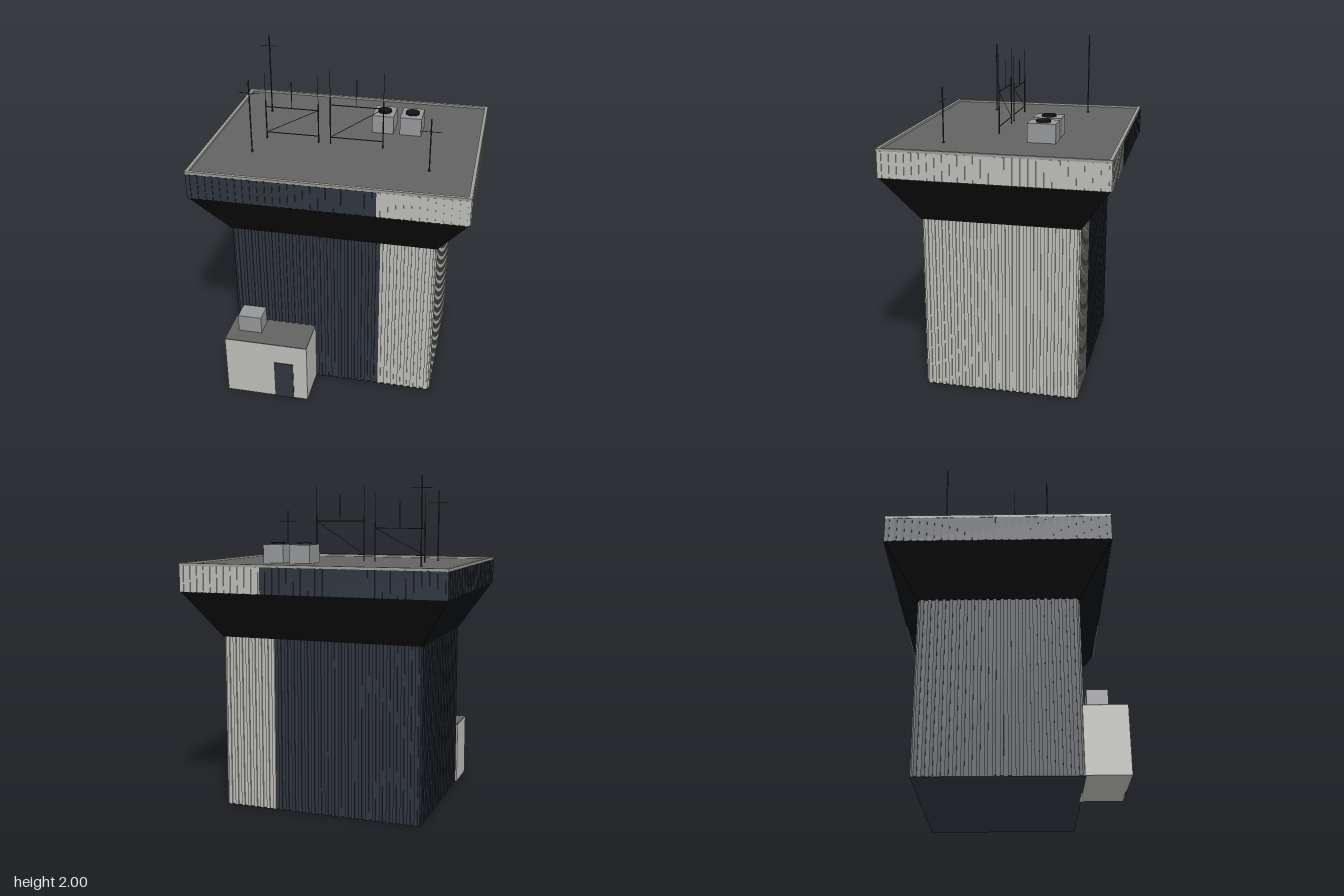
import * as THREE from 'three';
import { mergeGeometries } from 'three/addons/utils/BufferGeometryUtils.js';

const mat = (color) => new THREE.MeshStandardMaterial({ color });
const DARK = mat(0x2f343e), LIGHT = mat(0xbcbdb7), GLASS = mat(0x0d0e10), ROOF = mat(0x626262);
const COPING = mat(0x9b9d97), UNIT = mat(0x959698), FAN = mat(0x141517), STEEL = mat(0x2c2e31);
const ZC = -0.025;   // centre of the tower in z
const SPLIT = 0.29;  // where the dark cladding meets the light

// Box geometry given by its min and max on each axis
function boxGeo(x0, x1, y0, y1, z0, z1) {
  return new THREE.BoxGeometry(x1 - x0, y1 - y0, z1 - z0)
    .translate((x0 + x1) / 2, (y0 + y1) / 2, (z0 + z1) / 2);
}

function add(parent, name, geo, material) {
  const mesh = new THREE.Mesh(geo, material);
  mesh.name = name;
  parent.add(mesh);
  return mesh;
}

// Round bar between two points
function barGeo(a, b, r) {
  const p = new THREE.Vector3(...a), d = new THREE.Vector3(...b).sub(p);
  const q = new THREE.Quaternion().setFromUnitVectors(new THREE.Vector3(0, 1, 0), d.clone().normalize());
  return new THREE.CylinderGeometry(r, r, d.length(), 6)
    .applyQuaternion(q).translate(p.x + d.x / 2, p.y + d.y / 2, p.z + d.z / 2);
}

// Ribbed block, split into dark and light cladding; hx and hz include the ribs
function cladBlock(parent, name, hx, hz, y0, y1, depth, pitch, ribWidth) {
  const cx = hx - depth, cz = hz - depth, w = ribWidth / 2;
  const dark = [boxGeo(-cx, SPLIT, y0, y1, ZC - cz, ZC + cz)];
  const light = [boxGeo(SPLIT, cx, y0, y1, ZC - cz, ZC + cz)];
  const nx = Math.round(2 * cx / pitch), nz = Math.round(2 * cz / pitch);
  for (let i = 0; i < nx; i++) {
    const x = -cx + (i + 0.5) * 2 * cx / nx;
    const list = x < SPLIT ? dark : light;
    list.push(boxGeo(x - w, x + w, y0, y1, ZC + cz, ZC + hz));
    list.push(boxGeo(x - w, x + w, y0, y1, ZC - hz, ZC - cz));
  }
  for (let i = 0; i < nz; i++) {
    const z = ZC - cz + (i + 0.5) * 2 * cz / nz;
    dark.push(boxGeo(-hx, -cx, y0, y1, z - w, z + w));
    light.push(boxGeo(cx, hx, y0, y1, z - w, z + w));
  }
  add(parent, name + 'DarkCladding', mergeGeometries(dark), DARK);
  add(parent, name + 'LightCladding', mergeGeometries(light), LIGHT);
}

function rectPath(path, hx, hz) {
  path.moveTo(-hx, -hz);
  path.lineTo(hx, -hz);
  path.lineTo(hx, hz);
  path.lineTo(-hx, hz);
  path.closePath();
  return path;
}

// Mast with a short crossbar
function mast(parent, x, z, top, barY) {
  add(parent, 'mast', mergeGeometries([
    barGeo([x, 1.48, z], [x, top, z], 0.004),
    barGeo([x - 0.062, barY, z], [x + 0.062, barY, z], 0.0018),
    new THREE.CylinderGeometry(0.007, 0.007, 0.012, 8).translate(x, 1.491, z),
  ]), STEEL);
}

// Braced antenna frame with whips
function antennaFrame(parent, x0, x1, rail, postTop, whipTop) {
  const z = 0.07, low = 1.53, xm = (x0 + x1) / 2;
  const parts = [
    barGeo([x0, low, z], [x1, low, z], 0.003),
    barGeo([x0, rail, z], [x1, rail, z], 0.003),
    barGeo([x0, low, z], [x1, rail, z], 0.002),
    barGeo([xm, rail, z], [xm, rail + 0.163, z], 0.0025),
  ];
  for (const x of [x0, x1]) {
    parts.push(barGeo([x, 1.48, z], [x, postTop, z], 0.004));
    parts.push(barGeo([x, postTop, z], [x, whipTop, z], 0.0015));
  }
  add(parent, 'antennaFrame', mergeGeometries(parts), STEEL);
}

export function createModel() {
  const model = new THREE.Group();
  model.name = 'controlTower';

  // Shaft on its dark base plate
  add(model, 'basePlate', boxGeo(-0.618, 0.618, 0, 0.004, ZC - 0.463, ZC + 0.463), DARK);
  cladBlock(model, 'shaft', 0.62, 0.465, 0.003, 1.05, 0.008, 0.042, 0.02);

  // Outward-leaning glazing
  const glass = new THREE.BoxGeometry(2, 0.28, 2);
  const p = glass.attributes.position;
  for (let i = 0; i < p.count; i++) {
    const top = p.getY(i) > 0;
    p.setX(i, p.getX(i) * (top ? 0.8 : 0.62));
    p.setZ(i, p.getZ(i) * (top ? 0.645 : 0.465));
  }
  glass.translate(0, 1.19, ZC);
  glass.computeVertexNormals();
  add(model, 'glazing', glass, GLASS);

  // Parapet band, roof deck and coping
  cladBlock(model, 'parapet', 0.81, 0.655, 1.33, 1.485, 0.005, 0.043, 0.014);
  add(model, 'roofDeck', boxGeo(-0.795, 0.795, 1.48, 1.488, ZC - 0.64, ZC + 0.64), ROOF);
  const ring = rectPath(new THREE.Shape(), 0.807, 0.652);
  ring.holes.push(rectPath(new THREE.Path(), 0.787, 0.632));
  const coping = new THREE.ExtrudeGeometry(ring, { depth: 0.016, bevelEnabled: false });
  add(model, 'coping', coping.rotateX(-Math.PI / 2).translate(0, 1.484, ZC), COPING);

  // Rooftop cooling units
  for (const x of [0.195, 0.367]) {
    const unit = new THREE.Group();
    unit.name = 'coolingUnit';
    add(unit, 'housing', boxGeo(x - 0.066, x + 0.066, 1.485, 1.6, -0.308, -0.142), UNIT);
    add(unit, 'fan', new THREE.CylinderGeometry(0.043, 0.043, 0.012, 24).translate(x, 1.605, -0.225), FAN);
    model.add(unit);
  }

  // Masts and antenna frames
  mast(model, -0.568, -0.345, 2.0, 1.93);
  mast(model, -0.517, 0.27, 1.93, 1.855);
  mast(model, 0.54, 0.32, 1.805, 1.73);
  antennaFrame(model, -0.482, -0.16, 1.695, 1.735, 1.905);
  antennaFrame(model, -0.087, 0.232, 1.738, 1.78, 1.955);

  // Entrance annex
  const annex = new THREE.Group();
  annex.name = 'entranceAnnex';
  add(annex, 'walls', boxGeo(-0.628, -0.113, 0, 0.39, 0.43, 0.678), LIGHT);
  add(annex, 'annexRoof', boxGeo(-0.628, -0.113, 0.39, 0.396, 0.43, 0.678), ROOF);
  add(annex, 'door', boxGeo(-0.32, -0.2, 0, 0.26, 0.67, 0.683), DARK);
  add(annex, 'roofUnit', boxGeo(-0.568, -0.422, 0.39, 0.506, 0.458, 0.578), UNIT);
  model.add(annex);

  return model;
}
